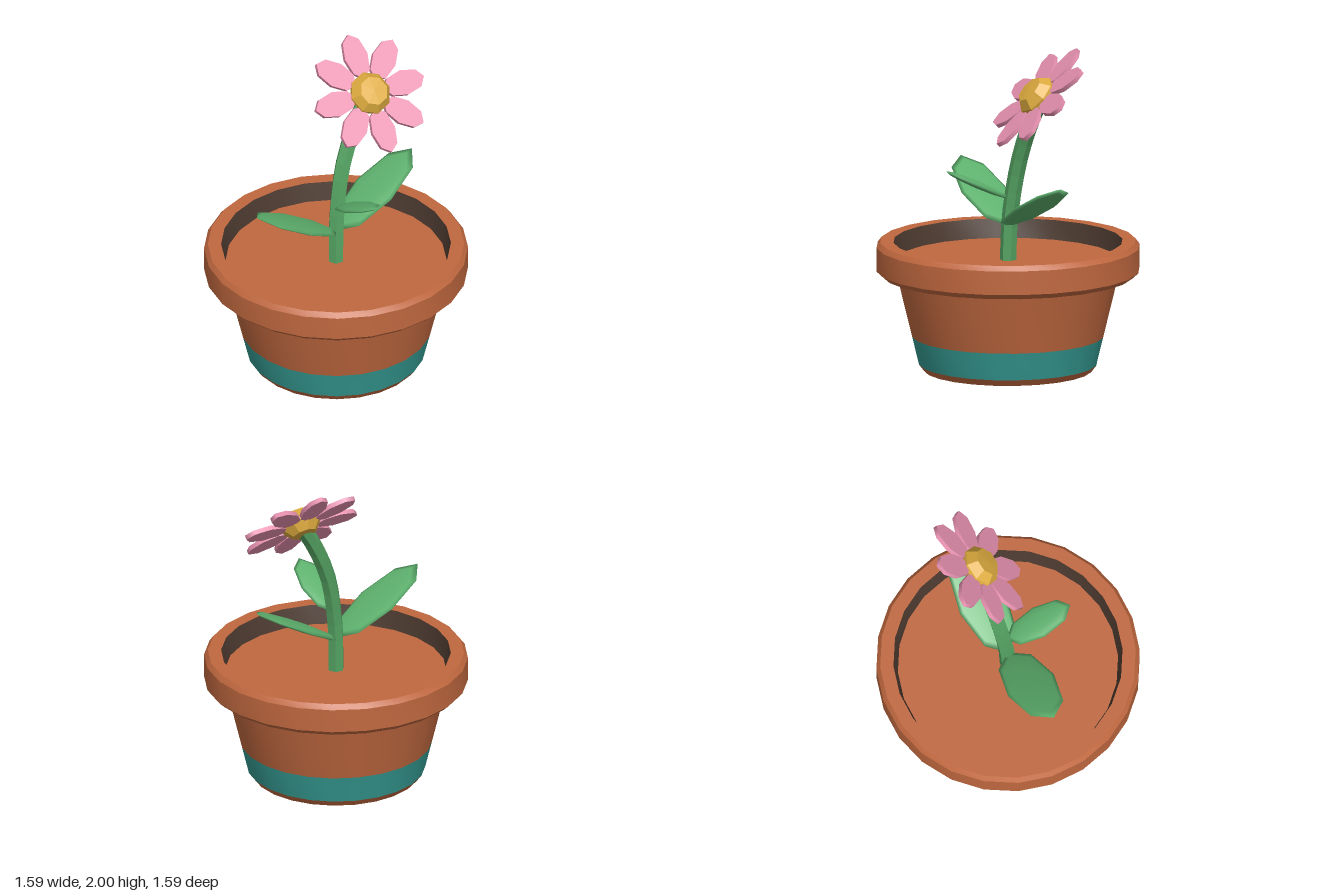
import * as THREE from 'three';
import { toCreasedNormals } from 'three/addons/utils/BufferGeometryUtils.js';

const mat = (color, extra = {}) => new THREE.MeshStandardMaterial({ color, ...extra });

const terracotta = mat(0xc0683f, { side: THREE.DoubleSide });
const teal = mat(0x359a92, { side: THREE.DoubleSide });
const dark = mat(0x4c3a30, { side: THREE.DoubleSide });
const stemGreen = mat(0x55a463, { flatShading: true });
const leafGreen = mat(0x5db06d);
const pink = mat(0xe891b0);
const gold = mat(0xdcaa3e, { flatShading: true });

function add(parent, name, geometry, material) {
  const mesh = new THREE.Mesh(geometry, material);
  mesh.name = name;
  parent.add(mesh);
  return mesh;
}

// Turned shape from [radius, height] pairs, with sharp profile corners
function turned(profile, sides = 24) {
  const points = profile.map(([r, y]) => new THREE.Vector2(r, y));
  return toCreasedNormals(new THREE.LatheGeometry(points, sides), 0.45);
}

// Flattened leaf blade stretched between two points
function addLeaf(parent, name, base, tip, halfWidth) {
  const a = new THREE.Vector3(...base);
  const b = new THREE.Vector3(...tip);
  const along = b.clone().sub(a).normalize();
  const across = along.clone().cross(new THREE.Vector3(0, 1, 0)).normalize();
  const normal = across.clone().cross(along);
  const leaf = add(parent, name, new THREE.SphereGeometry(1, 8, 6), leafGreen);
  leaf.quaternion.setFromRotationMatrix(new THREE.Matrix4().makeBasis(along, normal, across));
  leaf.position.copy(a).lerp(b, 0.5);
  leaf.scale.set(a.distanceTo(b) / 2, 0.022, halfWidth);
}

export function createModel() {
  const model = new THREE.Group();
  model.name = 'pottedFlower';

  // Pot
  const pot = new THREE.Group();
  pot.name = 'pot';
  model.add(pot);
  add(pot, 'potFoot', turned([[0, 0], [0.508, 0], [0.538, 0.04]]), terracotta);
  add(pot, 'paintedBand', turned([[0.538, 0.04], [0.58, 0.212]]), teal);
  add(pot, 'potWall', turned([[0.58, 0.212], [0.668, 0.575]]), terracotta);
  add(pot, 'rim', turned([
    [0.66, 0.57], [0.69, 0.57], [0.76, 0.583], [0.795, 0.615],
    [0.795, 0.76], [0.772, 0.79], [0.692, 0.79],
  ]), terracotta);
  add(pot, 'innerWall', turned([[0.692, 0.79], [0.665, 0.675]]), dark);
  add(pot, 'soil', turned([[0.668, 0.675], [0, 0.675]]), terracotta);

  // Stem
  const path = new THREE.CatmullRomCurve3([
    [0, 0.66, 0], [0.01, 0.95, -0.01], [0.075, 1.3, -0.045],
    [0.19, 1.56, -0.08], [0.28, 1.7, -0.105],
  ].map((p) => new THREE.Vector3(...p)));
  add(model, 'stem', new THREE.TubeGeometry(path, 10, 0.05, 6), stemGreen);

  // Leaves
  addLeaf(model, 'rightLeaf', [0, 0.88, 0], [-0.6, 1.21, 0.08], 0.155);
  addLeaf(model, 'leftLeaf', [0, 0.88, 0], [0.6, 1.21, -0.115], 0.155);
  addLeaf(model, 'frontLeaf', [0.02, 1.055, 0], [0.035, 1.25, 0.41], 0.1);

  // Flower head, facing up and forward
  const flower = new THREE.Group();
  flower.name = 'flower';
  flower.position.set(0.285, 1.718, -0.088);
  flower.rotation.x = 0.82;
  model.add(flower);

  add(flower, 'flowerCentre', turned([
    [0, -0.065], [0.075, -0.06], [0.132, 0], [0.132, 0.025], [0.09, 0.08], [0, 0.085],
  ], 8), gold);

  // Petals
  const petalShape = new THREE.CylinderGeometry(1, 1, 1, 8);
  petalShape.scale(0.078, 0.028, 0.14).translate(0, 0, 0.238);
  for (let i = 0; i < 8; i++) {
    const petal = add(flower, 'petal', petalShape, pink);
    petal.rotation.y = (i * Math.PI) / 4;
  }
  return model;
}
